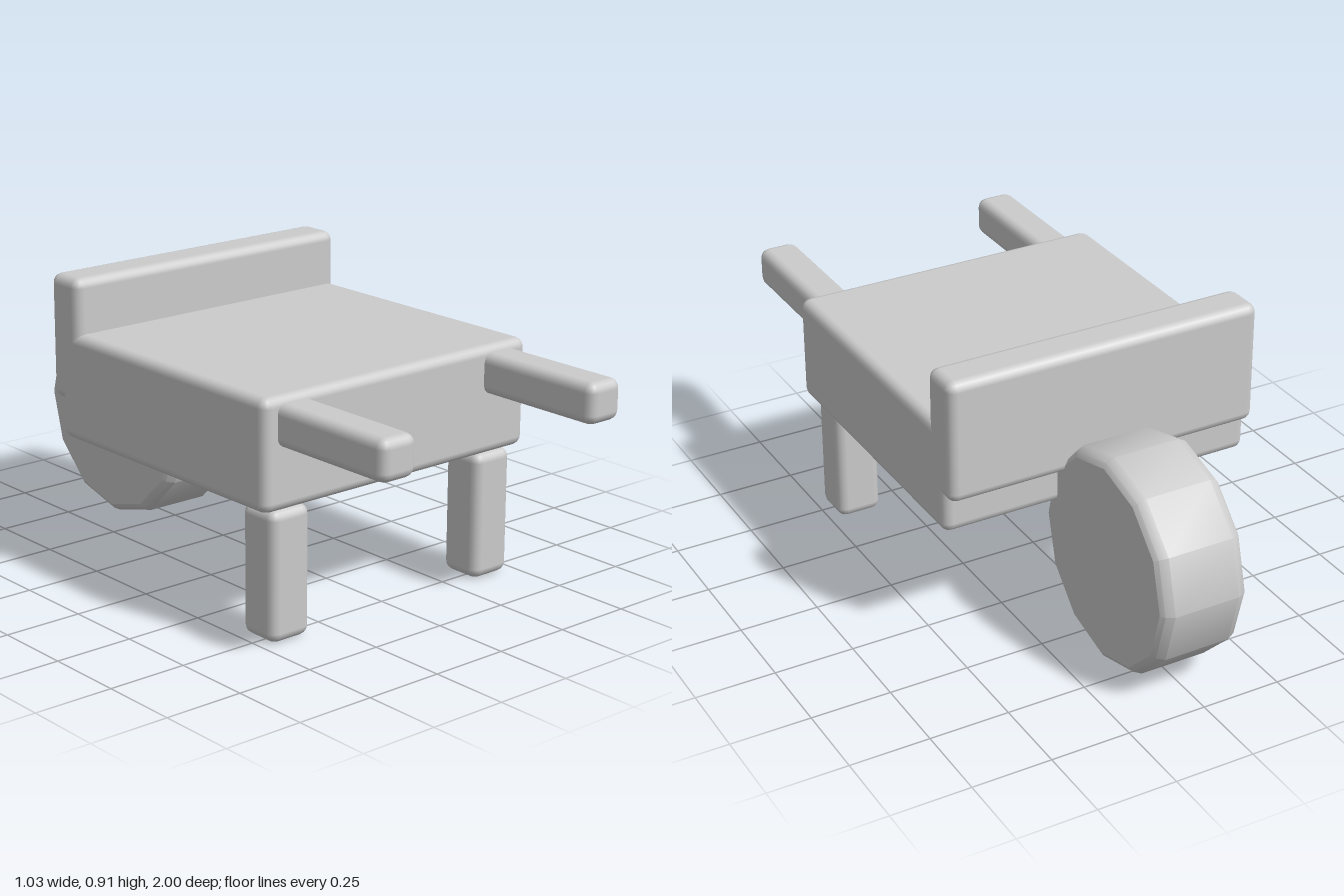
import * as THREE from 'three';
import { RoundedBoxGeometry } from 'three/addons/geometries/RoundedBoxGeometry.js';
import { toCreasedNormals } from 'three/addons/utils/BufferGeometryUtils.js';

export function createModel() {
  const group = new THREE.Group();
  const material = new THREE.MeshStandardMaterial({ color: 0xcccccc });

  const add = (name, geometry) => {
    const mesh = new THREE.Mesh(geometry, material);
    mesh.name = name;
    group.add(mesh);
    return mesh;
  };

  // Bevelled block given by its extents along each axis
  const block = (name, [x0, x1], [y0, y1], [z0, z1], bevel = 0.03) => {
    const geometry = new RoundedBoxGeometry(x1 - x0, y1 - y0, z1 - z0, 2, bevel);
    add(name, geometry).position.set((x0 + x1) / 2, (y0 + y1) / 2, (z0 + z1) / 2);
  };

  // Cart body and upright board above the wheel
  block('tray', [-0.513, 0.513], [0.405, 0.743], [-0.397, 0.57]);
  block('backBoard', [-0.513, 0.513], [0.525, 0.914], [-0.44, -0.303]);

  // Handles and legs, mirrored
  for (const [side, s] of [['left', 1], ['right', -1]]) {
    const span = (a, b) => (s > 0 ? [a, b] : [-b, -a]);
    block(side + 'Handle', span(0.336, 0.464), [0.596, 0.722], [0.54, 1]);
    block(side + 'Leg', span(0.328, 0.472), [0.003, 0.403], [0.417, 0.559]);
  }

  // Twelve-sided wheel with bevelled rims, turned on the x axis
  const rim = [[0, 0.14], [0.312, 0.14], [0.327, 0.13], [0.34, 0.105]];
  const profile = [
    ...rim.map(([r, h]) => new THREE.Vector2(r, -h)),
    ...rim.slice().reverse().map(([r, h]) => new THREE.Vector2(r, h)),
  ];
  const wheel = toCreasedNormals(new THREE.LatheGeometry(profile, 12), 0.56);
  wheel.rotateZ(Math.PI / 2);
  add('wheel', wheel).position.set(0, 0.343, -0.657);

  return group;
}
